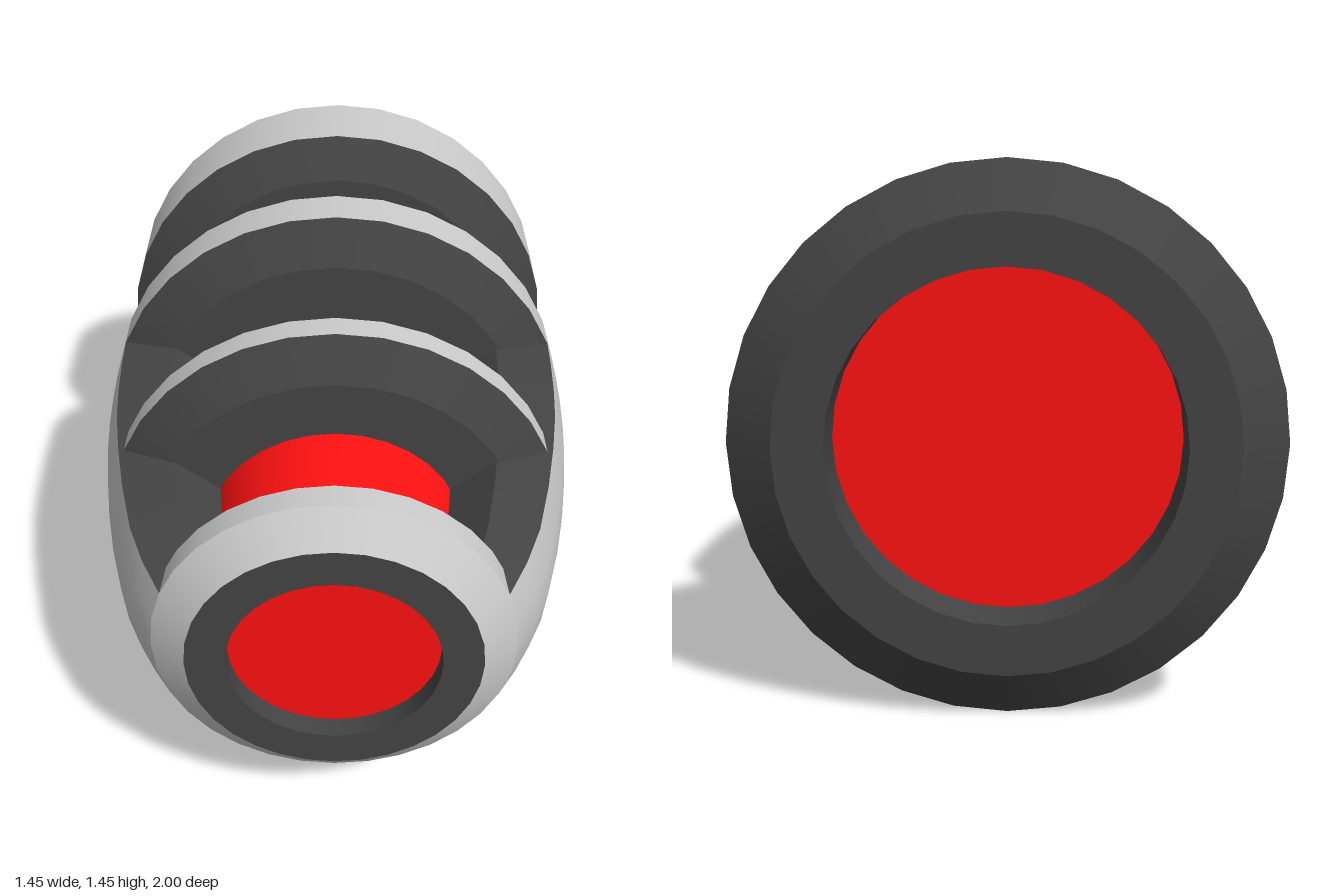
import * as THREE from 'three';

const SIDES = 32;
const GREY = new THREE.MeshStandardMaterial({ color: 0xcccccc });
const DARK = new THREE.MeshStandardMaterial({ color: 0x444444 });
const RED = new THREE.MeshStandardMaterial({ color: 0xff1111 });

// Surface of revolution around z from [z, radius] points, rear to front
function turned(points, material) {
  const geometry = new THREE.LatheGeometry(points.map(([z, r]) => new THREE.Vector2(r, z)), SIDES);
  geometry.rotateX(Math.PI / 2);
  return new THREE.Mesh(geometry, material);
}

// Hard-edged ring: each profile segment is its own band; greyBands lists the light ones
function ring(name, profile, greyBands) {
  const group = new THREE.Group();
  group.name = name;
  for (let i = 0; i < profile.length - 1; i++) {
    const band = turned([profile[i], profile[i + 1]], greyBands.includes(i) ? GREY : DARK);
    band.name = name + 'Band';
    group.add(band);
  }
  return group;
}

// Lofts an open strip of section points along z, scaled to follow the panel curve
function strip(section, curve, material) {
  const positions = [], index = [], n = section.length;
  for (const [z, r] of curve) for (const [x, y] of section) positions.push(x * r, y * r, z);
  for (let j = 0; j < curve.length - 1; j++) {
    for (let i = 0; i < n - 1; i++) {
      const a = j * n + i, b = a + 1, c = a + n, d = c + 1;
      index.push(a, b, d, a, d, c);
    }
  }
  const geometry = new THREE.BufferGeometry();
  geometry.setAttribute('position', new THREE.Float32BufferAttribute(positions, 3));
  geometry.setIndex(index);
  geometry.computeVertexNormals();
  return new THREE.Mesh(geometry, material);
}

// Curved side panel: smooth outer skin, dark shoulders and inner walls
function sidePanel(name) {
  const curve = [[-0.11, 0.725], [0, 0.722], [0.13, 0.715], [0.26, 0.703], [0.4, 0.68],
    [0.56, 0.646], [0.72, 0.602], [0.83, 0.554], [0.93, 0.495]];
  const arc = [];
  for (let i = -2; i <= 2; i++) {
    const a = i * Math.PI * 2 / SIDES;
    arc.push([Math.cos(a), Math.sin(a)]);
  }
  const shoulder = [0.69, 0.41], root = [0.47, 0.24];
  const flip = ([x, y]) => [x, -y];
  const group = new THREE.Group();
  group.name = name;
  const skin = strip(arc, curve, GREY);
  skin.name = 'panelSkin';
  group.add(skin);
  const edges = [[arc[4], shoulder], [shoulder, root],
    [flip(shoulder), arc[0]], [flip(root), flip(shoulder)]];
  for (const edge of edges) {
    const wall = strip(edge, curve, DARK);
    wall.name = 'panelEdge';
    group.add(wall);
  }
  return group;
}

export function createModel() {
  const model = new THREE.Group();
  const body = new THREE.Group();
  body.name = 'body';
  body.position.y = 0.728;
  model.add(body);

  // Tapering red core with recessed end discs
  const core = turned([[-0.85, 0.47], [-0.41, 0.47], [-0.33, 0.455], [-0.05, 0.407],
    [0.26, 0.393], [0.48, 0.375], [0.77, 0.34], [0.94, 0.3]], RED);
  core.name = 'core';
  const rearDisc = turned([[-0.85, 0], [-0.85, 0.47]], RED);
  rearDisc.name = 'coreRearDisc';
  const frontDisc = turned([[0.94, 0.3], [0.94, 0]], RED);
  frontDisc.name = 'coreFrontDisc';
  body.add(core, rearDisc, frontDisc);

  // Rings from rear to front
  body.add(
    ring('rearRing', [[-0.85, 0.46], [-1, 0.46], [-1, 0.595], [-0.915, 0.725],
      [-0.67, 0.725], [-0.605, 0.595], [-0.605, 0.44]], [3]),
    ring('middleRing', [[-0.33, 0.42], [-0.33, 0.59], [-0.25, 0.725],
      [-0.115, 0.725], [-0.05, 0.59], [-0.05, 0.38]], [2]),
    ring('smallRing', [[0.255, 0.36], [0.255, 0.54], [0.34, 0.663],
      [0.42, 0.663], [0.485, 0.54], [0.485, 0.35]], [2]),
    ring('frontRing', [[0.77, 0.3], [0.77, 0.4], [0.855, 0.495],
      [0.93, 0.495], [1, 0.4], [1, 0.29], [0.94, 0.29]], [2, 3]),
  );

  // Mirrored side panels
  const left = sidePanel('leftPanel');
  const right = sidePanel('rightPanel');
  right.rotation.z = Math.PI;
  body.add(left, right);
  return model;
}
